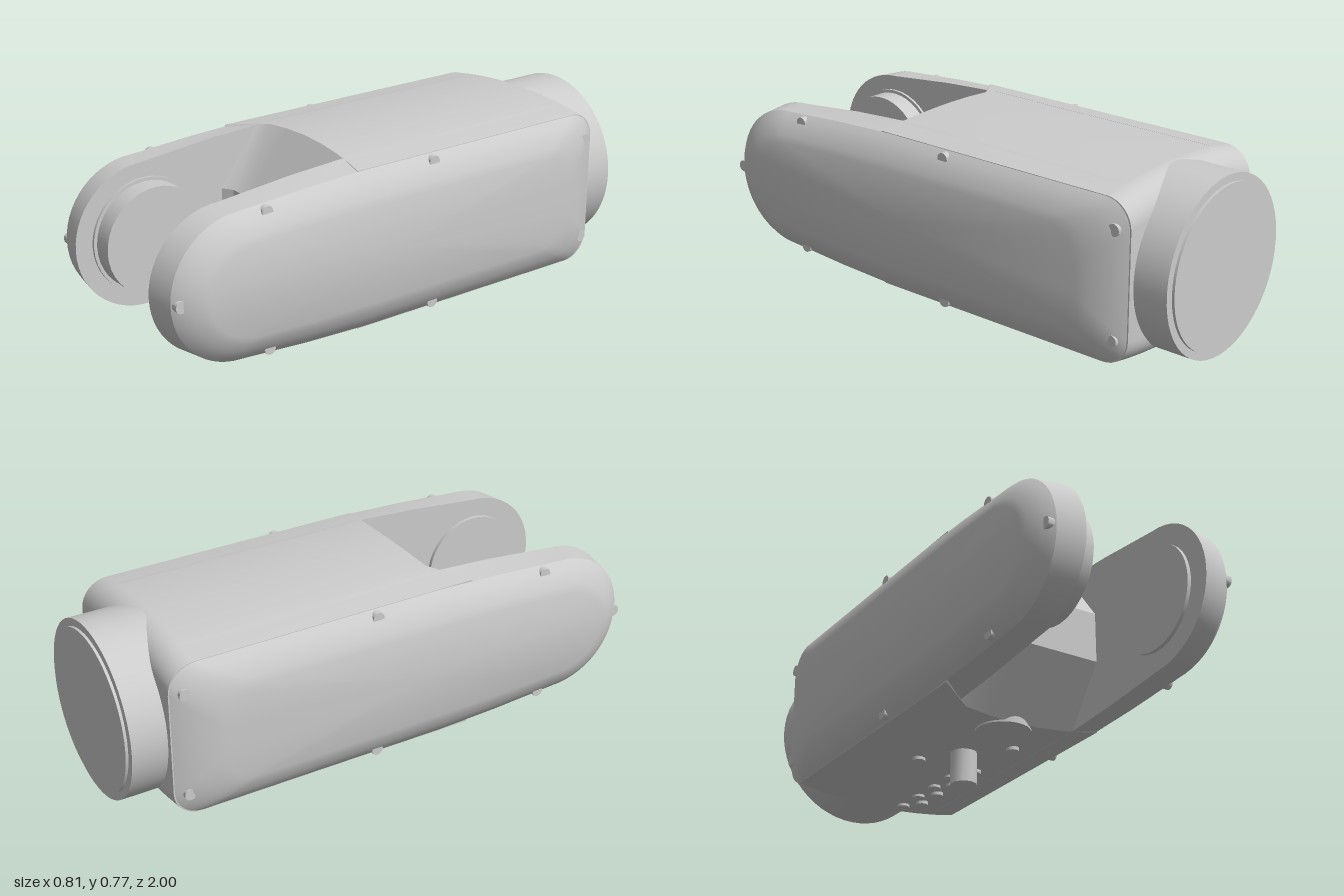
import * as THREE from 'three';
import { toCreasedNormals } from 'three/addons/utils/BufferGeometryUtils.js';

const CY = 0.446; // height of the long axis
const material = new THREE.MeshStandardMaterial({ color: 0xcccccc, roughness: 0.7 });
const lerp = THREE.MathUtils.lerp;

// Closed, capped skin over rings of [x, y, z] points, ordered by rising x
function loft(rings) {
  const n = rings[0].length, pos = [];
  const tri = (a, b, c) => pos.push(...a, ...b, ...c);
  for (let i = 0; i < rings.length - 1; i++) {
    for (let j = 0; j < n; j++) {
      const k = (j + 1) % n, p = rings[i], q = rings[i + 1];
      tri(p[j], q[j], p[k]);
      tri(p[k], q[j], q[k]);
    }
  }
  const first = rings[0], last = rings[rings.length - 1];
  const c0 = [first[0][0], CY, 0.1], c1 = [last[0][0], CY, 0.1];
  for (let j = 0; j < n; j++) {
    const k = (j + 1) % n;
    tri(c0, first[j], first[k]);
    tri(c1, last[k], last[j]);
  }
  const g = new THREE.BufferGeometry();
  g.setAttribute('position', new THREE.Float32BufferAttribute(pos, 3));
  return toCreasedNormals(g, 0.5);
}

// Half outline [z, height above axis] from front to rear -> full ring at x
function mirrorRing(x, half) {
  const top = half.map(([z, h]) => [x, CY + h, z]);
  const low = half.map(([z, h]) => [x, CY - h, z]).reverse();
  if (half[0][1] === 0) low.pop();
  return [...top, ...low];
}

function rearCorner(half, zb, h, r) {
  for (let i = 0; i <= 8; i++) {
    const a = (i / 8) * Math.PI / 2;
    half.push([zb + r - r * Math.sin(a), h - r + r * Math.cos(a)]);
  }
}

// Round-nosed side outline
function sideOutline({ zf, rf, hf, hm, zb, rb }) {
  const half = [];
  for (let i = 0; i <= 14; i++) {
    const a = (i / 14) * Math.PI / 2;
    half.push([zf - rf + rf * Math.cos(a), i ? hf * Math.sin(a) : 0]);
  }
  half.push([0.45, lerp(hf, hm, 0.65)], [0.2, hm]);
  rearCorner(half, zb, hm, rb);
  return half;
}

export function createModel() {
  const model = new THREE.Group();
  const add = (name, geometry, x = 0, y = 0, z = 0) => {
    const mesh = new THREE.Mesh(geometry, material);
    mesh.name = name;
    mesh.position.set(x, y, z);
    model.add(mesh);
    return mesh;
  };
  const disc = (r, len, axis, sides = 40) => {
    const g = new THREE.CylinderGeometry(r, r, len, sides);
    if (axis === 'x') g.rotateZ(Math.PI / 2);
    if (axis === 'z') g.rotateX(Math.PI / 2);
    return toCreasedNormals(g, 0.7);
  };

  // Crowned main body with a bevelled wall at the fork
  const xs = [-0.34, -0.24, -0.2, -0.1, 0, 0.1, 0.2, 0.28, 0.34];
  add('mainBody', loft(xs.map((x) => {
    const drop = 0.031 * (x / 0.34) ** 2;
    const h = 0.322 - drop;
    const dz = Math.max(0, -0.2 - x) * 0.6;
    const half = [[0.38 + dz, 0.095], [0.21 + 0.75 * drop + dz, h]];
    rearCorner(half, -0.86, h, 0.1);
    return mirrorRing(x, half);
  })));

  // Fork arms, each with its domed side cover
  const inner = sideOutline({ zf: 1, rf: 0.27, hf: 0.266, hm: 0.307, zb: -0.85, rb: 0.1 });
  const outer = sideOutline({ zf: 0.98, rf: 0.265, hf: 0.262, hm: 0.289, zb: -0.855, rb: 0.1 });
  const face = sideOutline({ zf: 0.87, rf: 0.2, hf: 0.165, hm: 0.178, zb: -0.69, rb: 0.13 });
  const dome = [[0.34, 0], [0.362, 0.2], [0.382, 0.48], [0.396, 0.75], [0.405, 1]];
  for (const s of [1, -1]) {
    const side = s > 0 ? 'left' : 'right';
    const rings = [mirrorRing(s * 0.24, inner)];
    for (const [x, t] of dome) {
      rings.push(mirrorRing(s * x, outer.map(([z, h], i) =>
        [lerp(z, face[i][0], t), lerp(h, face[i][1], t)])));
    }
    add(side + 'ArmAndCover', loft(s > 0 ? rings : rings.reverse()));

    // Cover screws
    const screws = [[0.955, 0], [0.62, 0.243], [0.62, -0.243], [-0.08, 0.264],
      [-0.08, -0.264], [-0.81, 0.193], [-0.81, -0.193]];
    for (const [z, h] of screws) {
      add(side + 'CoverScrew', disc(0.022, 0.06, 'x', 14), s * 0.338, CY + h, z);
    }
  }

  // Pivot bosses inside the fork
  add('rightPivotFlange', disc(0.21, 0.02, 'x'), -0.24, CY, 0.725);
  add('rightPivotBoss', disc(0.198, 0.083, 'x'), -0.1985, CY, 0.725);
  add('leftPivotBoss', disc(0.195, 0.024, 'x'), 0.238, CY, 0.725);

  // Round rear neck and its end plate
  add('rearNeck', disc(0.32, 0.39, 'z', 56), 0, CY, -0.795);
  add('rearEndPlate', disc(0.292, 0.03, 'z', 56), 0, CY, -0.985);

  // Underside: post, round plate and rows of studs
  add('bottomPost', disc(0.05, 0.16, 'y', 10), 0, 0.08, -0.125);
  add('bottomPlate', disc(0.1, 0.03, 'y'), 0.01, 0.134, 0.125);
  const studs = [[0.13, 0], [0.13, -0.26], [-0.11, -0.26]];
  for (let i = 0; i < 4; i++) {
    studs.push([0.08, -0.35 - 0.12 * i]);
    if (i < 3) studs.push([0.13, -0.42 - 0.115 * i]);
  }
  for (const [x, z] of studs) add('bottomStud', disc(0.024, 0.04, 'y', 14), x, 0.136, z);

  return model;
}
